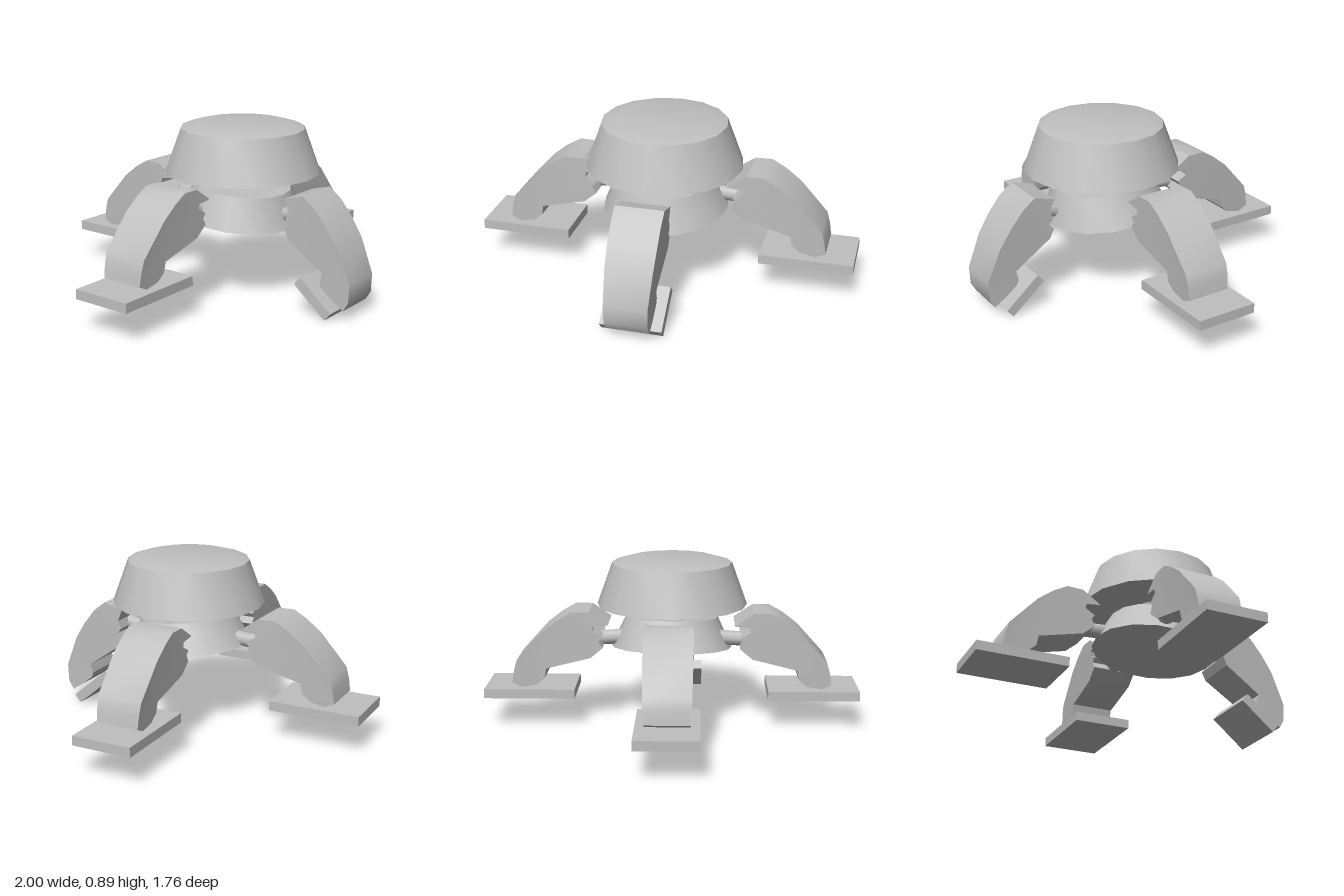
import * as THREE from 'three';
import { toCreasedNormals } from 'three/addons/utils/BufferGeometryUtils.js';

const CREASE = 0.55;

// Leg outlines as (distance outward, height)
const LEG = [
  [0.335, 0.565], [0.435, 0.633], [0.525, 0.635], [0.6, 0.592], [0.68, 0.53],
  [0.825, 0.37], [0.842, 0.31], [0.852, 0.245], [0.8, 0.22], [0.72, 0.236],
  [0.678, 0.272], [0.668, 0.325], [0.43, 0.385], [0.365, 0.44], [0.385, 0.475],
  [0.367, 0.5], [0.42, 0.53], [0.415, 0.555],
];
const FRONT_LEG = [
  [0.505, 0.572], [0.614, 0.602], [0.685, 0.546], [0.75, 0.465], [0.81, 0.372],
  [0.882, 0.2], [0.878, 0.104], [0.85, 0.058], [0.784, 0.1], [0.722, 0.15],
  [0.713, 0.178], [0.727, 0.226], [0.53, 0.362], [0.51, 0.41], [0.534, 0.438],
  [0.513, 0.466], [0.53, 0.508],
];

export function createModel() {
  const model = new THREE.Group();
  model.name = 'fourLeggedWalker';
  const grey = new THREE.MeshStandardMaterial({ color: 0xbfbfbf });
  grey.name = 'grey';

  function add(parent, name, geometry) {
    const mesh = new THREE.Mesh(geometry, grey);
    mesh.name = name;
    parent.add(mesh);
    return mesh;
  }

  // Faceted round part from [radius, height] points, bottom to top
  function round(points) {
    const profile = points.map(([r, y]) => new THREE.Vector2(r, y));
    return toCreasedNormals(new THREE.LatheGeometry(profile, 16), CREASE);
  }

  // Thick leg that narrows towards the foot
  function legGeometry(outline) {
    const shape = new THREE.Shape(outline.map(([u, y]) => new THREE.Vector2(u, y)));
    const geometry = new THREE.ExtrudeGeometry(shape, { depth: 2, bevelEnabled: false });
    geometry.translate(0, 0, -1);
    const p = geometry.attributes.position;
    for (let i = 0; i < p.count; i++) {
      const t = THREE.MathUtils.clamp((0.6 - p.getY(i)) / 0.4, 0, 1);
      p.setZ(i, p.getZ(i) * (0.124 - 0.014 * t * t));
    }
    return toCreasedNormals(geometry, CREASE);
  }

  // Short stub running from the hull to a leg, in the leg's own frame
  function addJoint(parent, from, to) {
    const a = new THREE.Vector3(from[0], from[1], 0);
    const b = new THREE.Vector3(to[0], to[1], 0);
    const joint = add(parent, 'legJoint', new THREE.CylinderGeometry(0.04, 0.04, a.distanceTo(b), 8));
    joint.position.copy(a).add(b).multiplyScalar(0.5);
    joint.quaternion.setFromUnitVectors(new THREE.Vector3(0, 1, 0), b.sub(a).normalize());
  }

  // Wide upper turret with a bevelled, slightly dished roof
  const turret = add(model, 'turret', round([
    [0, 0.645], [0.405, 0.645], [0.322, 0.872], [0.24, 0.896], [0, 0.884],
  ]));
  turret.position.z = 0.155;

  // Lower hull, tipped forward
  const hull = add(model, 'hull', round([[0, 0], [0.327, 0], [0.25, 0.163], [0, 0.163]]));
  hull.position.set(0.003, 0.4125, 0.145);
  hull.rotation.set(0.1, 0, 0.015);

  // Leaning neck between hull and turret
  const neck = add(model, 'neck', new THREE.CylinderGeometry(0.125, 0.125, 0.12, 16));
  neck.geometry = toCreasedNormals(neck.geometry, CREASE);
  neck.position.set(0, 0.6, 0.11);
  neck.rotation.x = -0.4;

  // Three matching legs with flat feet
  const placements = [
    ['leftLeg', 0, 0, 0.085],
    ['rightLeg', Math.PI, 0, 0.075],
    ['backLeg', Math.PI / 2, 0.003, 0.122],
  ];
  const sharedLeg = legGeometry(LEG);
  const footGeometry = new THREE.BoxGeometry(0.484, 0.05, 0.318);
  for (const [name, turn, x, z] of placements) {
    const group = new THREE.Group();
    group.name = name;
    group.position.set(x, 0, z);
    group.rotation.y = turn;
    model.add(group);
    add(group, 'leg', sharedLeg);
    add(group, 'foot', footGeometry).position.set(0.757, 0.195, 0);
    addJoint(group, [0.24, 0.48], [0.41, 0.468]);
  }

  // Front leg reaches lower, with a short tilted foot
  const front = new THREE.Group();
  front.name = 'frontLeg';
  front.position.x = -0.005;
  front.rotation.y = -Math.PI / 2;
  model.add(front);
  add(front, 'leg', legGeometry(FRONT_LEG));
  const frontFoot = add(front, 'foot', new THREE.BoxGeometry(0.234, 0.053, 0.315));
  frontFoot.position.set(0.701, 0.101, 0);
  frontFoot.rotation.z = -0.7;
  addJoint(front, [0.37, 0.44], [0.54, 0.478]);

  return model;
}
